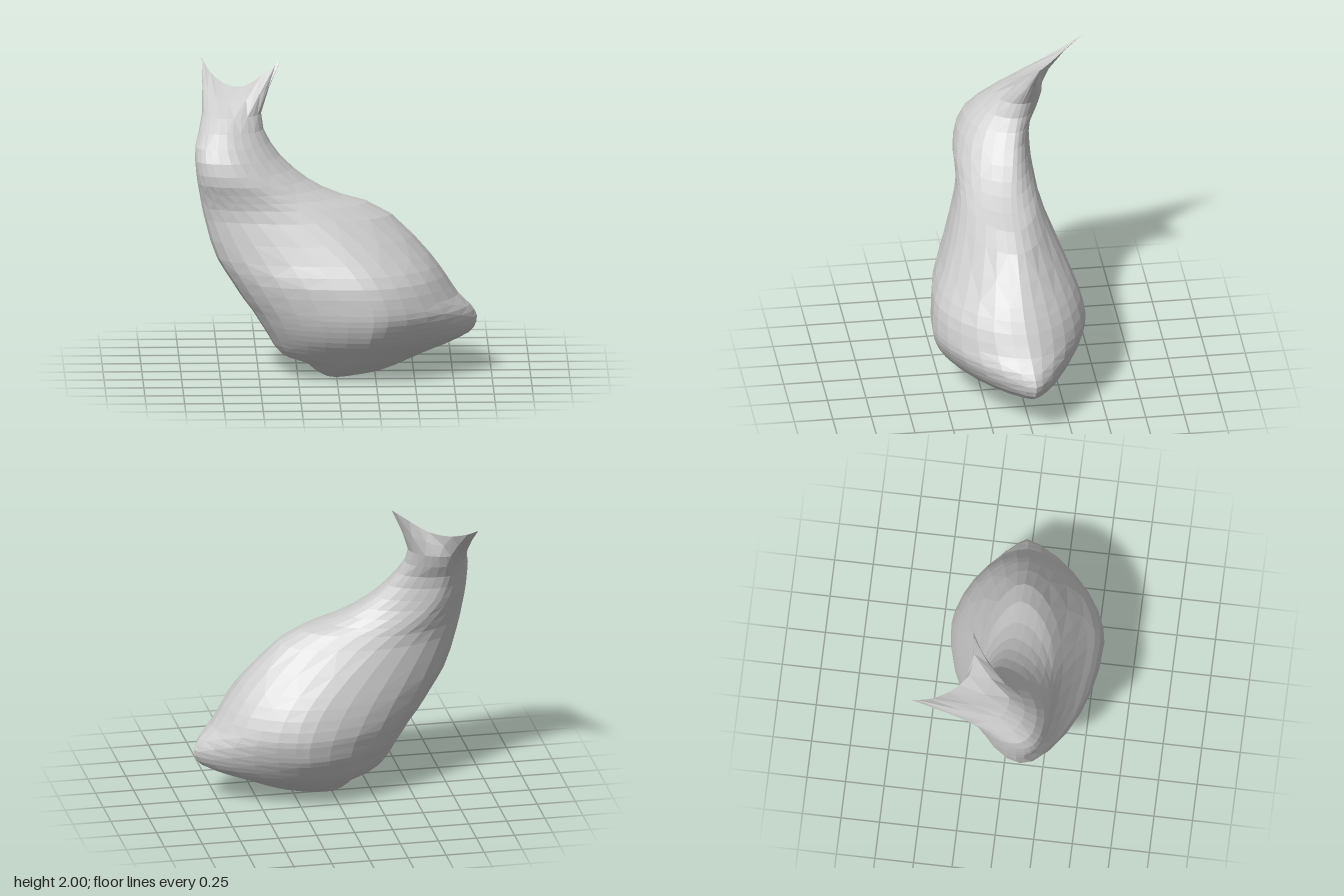
import * as THREE from 'three';

const SEG = 28;      // points round each cross-section
const LEVELS = 34;   // rings from base to fin rim

// Horizontal sections: y, left x, right x, widest x, front z, back z, left-end z, right-end z
const SECTIONS = [
  [0.00, -0.07, 0.12, 0.00, 0.19, 0.05, 0.12, 0.10],
  [0.03, -0.13, 0.32, 0.05, 0.25, -0.09, 0.12, 0.05],
  [0.09, -0.20, 0.48, 0.10, 0.33, -0.18, 0.13, 0.02],
  [0.14, -0.34, 0.60, 0.14, 0.38, -0.24, 0.14, 0.01],
  [0.20, -0.40, 0.76, 0.17, 0.44, -0.30, 0.14, 0.00],
  [0.27, -0.44, 0.88, 0.20, 0.50, -0.35, 0.14, -0.01],
  [0.35, -0.49, 0.91, 0.22, 0.54, -0.40, 0.14, -0.02],
  [0.43, -0.54, 0.87, 0.23, 0.56, -0.42, 0.14, -0.01],
  [0.51, -0.60, 0.79, 0.22, 0.56, -0.43, 0.14, 0.00],
  [0.65, -0.69, 0.70, 0.16, 0.54, -0.40, 0.14, 0.02],
  [0.80, -0.78, 0.59, 0.04, 0.46, -0.34, 0.14, 0.03],
  [1.08, -0.86, 0.30, -0.30, 0.33, -0.21, 0.12, 0.03],
  [1.19, -0.88, -0.03, -0.48, 0.31, -0.19, 0.12, 0.02],
  [1.31, -0.90, -0.24, -0.62, 0.31, -0.18, 0.12, -0.02],
  [1.48, -0.91, -0.41, -0.70, 0.25, -0.19, 0.10, -0.06],
  [1.66, -0.86, -0.48, -0.70, 0.07, -0.27, -0.15, -0.11],
];

// Forked rim, from the rear fin tip across the valley to the front fin tip
const RIM = new THREE.CatmullRomCurve3([
  [-0.85, 1.95, -0.56], [-0.80, 1.88, -0.44], [-0.72, 1.83, -0.33],
  [-0.60, 1.825, -0.22], [-0.48, 1.90, -0.20], [-0.35, 2.00, -0.22],
].map((p) => new THREE.Vector3(...p)));

const bump = (y, centre, width) => Math.exp(-(((y - centre) / width) ** 2));

// Roundness of a quarter: full at the front of the neck, pinched toward the tail tip
function roundness(y, left, front) {
  if (left) return front ? 2 + 0.7 * bump(y, 1.38, 0.22) : 1.78;
  return front ? 1.77 - 0.45 * bump(y, 0.24, 0.22) : 1.85 - 0.5 * bump(y, 0.33, 0.18);
}

// One point of a section: four superellipse quarters sharing the widest line
function sectionPoint([y, xL, xR, xc, zF, zB, zL, zR], angle) {
  const c = Math.cos(angle), s = Math.sin(angle);
  const power = 2 / roundness(y, c < 0, s >= 0);
  const [xEnd, zEnd] = c < 0 ? [xL, zL] : [xR, zR];
  const zSide = s < 0 ? zB : zF;
  return new THREE.Vector3(
    xc + (xEnd - xc) * Math.abs(c) ** power, y,
    zEnd + (zSide - zEnd) * Math.abs(s) ** power);
}

function bodyGeometry() {
  const positions = [], index = [];
  // A smooth lengthwise curve for each point round the section
  for (let i = 0; i < SEG; i++) {
    const angle = (i / SEG) * Math.PI * 2;
    const column = SECTIONS.map((section) => sectionPoint(section, angle));
    column.push(RIM.getPoint((Math.cos(angle) + 1) / 2));
    const curve = new THREE.CatmullRomCurve3(column);
    for (let j = 0; j <= LEVELS; j++) positions.push(...curve.getPoint(j / LEVELS).toArray());
  }
  const at = (i, j) => (i % SEG) * (LEVELS + 1) + j;
  const base = positions.length / 3;
  positions.push(0.02, 0, 0.12);
  for (let i = 0; i < SEG; i++) {
    index.push(base, at(i, 0), at(i + 1, 0)); // underside
    for (let j = 0; j < LEVELS; j++) {
      const a = at(i, j), b = at(i, j + 1), c = at(i + 1, j + 1), d = at(i + 1, j);
      // alternate the diagonals for an even faceted skin
      if ((i + j) % 2) index.push(a, b, d, b, c, d);
      else index.push(a, b, c, a, c, d);
    }
  }
  const geometry = new THREE.BufferGeometry();
  geometry.setAttribute('position', new THREE.Float32BufferAttribute(positions, 3));
  geometry.setIndex(index);
  geometry.computeVertexNormals();
  return geometry;
}

export function createModel() {
  const group = new THREE.Group();
  group.name = 'forkedVessel';
  const material = new THREE.MeshStandardMaterial({
    color: 0xcccccc, flatShading: true, side: THREE.DoubleSide,
  });
  // Body, neck and forked fins as one continuous skin
  const body = new THREE.Mesh(bodyGeometry(), material);
  body.name = 'bodyWithForkedNeck';
  group.add(body);
  return group;
}
